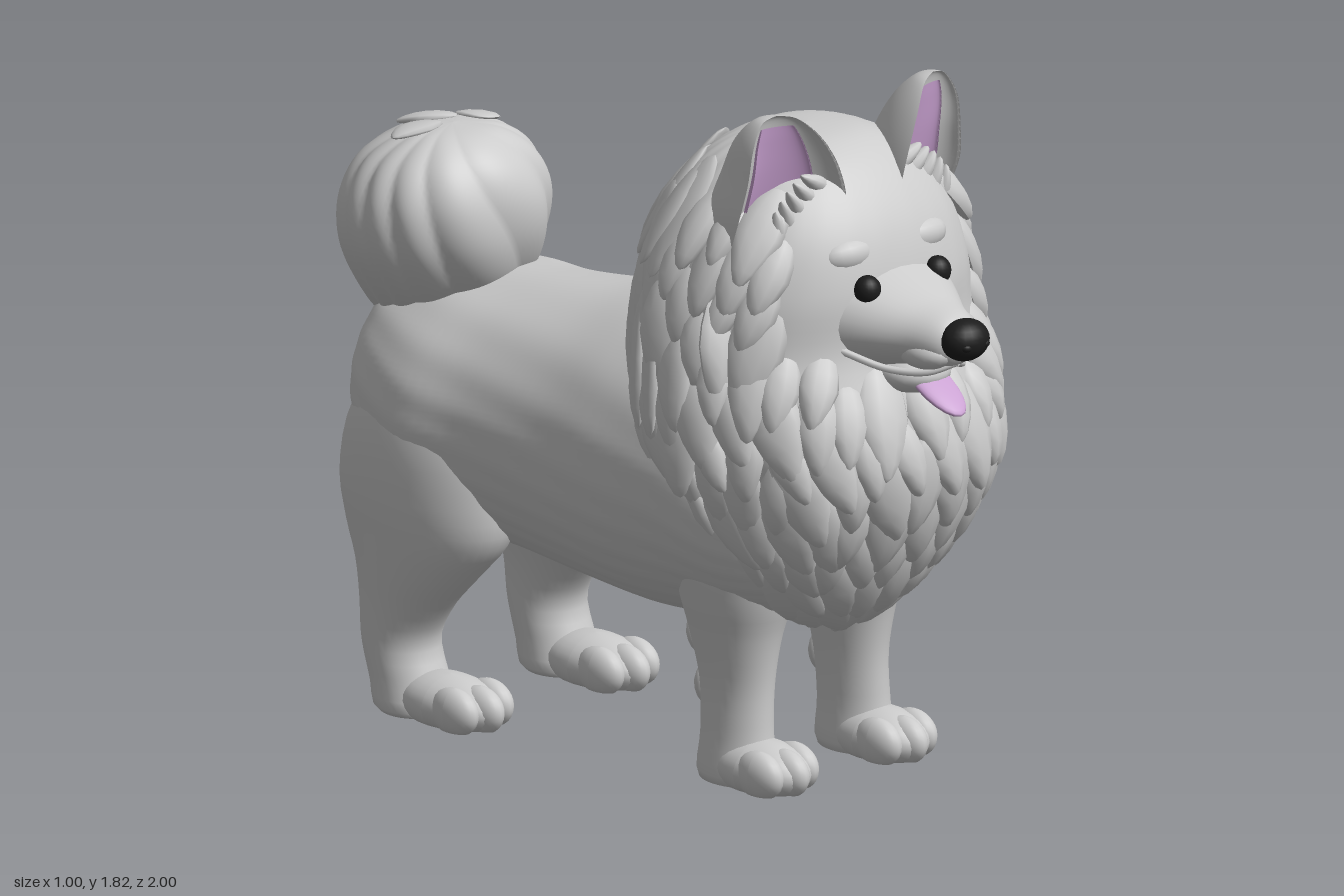
import * as THREE from 'three';
import { mergeGeometries } from 'three/addons/utils/BufferGeometryUtils.js';

const grey = new THREE.MeshStandardMaterial({ color: 0xcccccc });
const black = new THREE.MeshStandardMaterial({ color: 0x1c1c1c });
const pink = new THREE.MeshStandardMaterial({ color: 0xcaa2d2 });
const X0 = 0.02; // centre line of the head

let seed = 7;
const rnd = () => (seed = (seed * 16807) % 2147483647) / 2147483647;

// Smooth interpolation through rows of numbers, u in 0..1
function at(rows, u) {
  const f = Math.min(Math.max(u, 0), 1) * (rows.length - 1);
  const i = Math.min(Math.floor(f), rows.length - 2), t = f - i;
  const row = k => rows[Math.min(Math.max(k, 0), rows.length - 1)];
  return rows[0].map((_, c) => {
    const a = row(i - 1)[c], b = row(i)[c], d = row(i + 1)[c], e = row(i + 2)[c];
    return b + 0.5 * t * (d - a + t * (2 * a - 5 * b + 4 * d - e + t * (3 * (b - d) + e - a)));
  });
}

// Rows along y (top to bottom): [y, x, z, rx, rz]; along z (back to front): [z, x, y, rx, ry]
function surface(axis, rows, { ridge = () => 1, pow = 1 } = {}) {
  const sp = v => Math.sign(v) * Math.abs(v) ** pow;
  return (u, a) => {
    const [t, cx, c2, rx, r2] = at(rows, u), k = ridge(a, u);
    const p = cx + rx * k * sp(Math.cos(a)), q = c2 + r2 * k * sp(Math.sin(a));
    return axis === 'y' ? new THREE.Vector3(p, Math.max(t, 0), q) : new THREE.Vector3(p, q, t);
  };
}

function skin(point, seg = 32, steps = 28) {
  const pos = [], idx = [];
  for (let i = 0; i <= steps; i++) for (let j = 0; j < seg; j++) {
    pos.push(...point(i / steps, j / seg * Math.PI * 2).toArray());
    if (i === steps) continue;
    const a = i * seg + j, b = i * seg + (j + 1) % seg;
    idx.push(a, b, a + seg, b, b + seg, a + seg);
  }
  const g = new THREE.BufferGeometry();
  g.setAttribute('position', new THREE.Float32BufferAttribute(pos, 3));
  g.setIndex(idx);
  g.computeVertexNormals();
  return g;
}

const ball = (x, y, z, rx, ry, rz, tilt = 0) =>
  new THREE.SphereGeometry(1, 20, 14).scale(rx, ry, rz).rotateX(tilt).translate(x, y, z);

// Ball cut flat at the ground
function pad(...size) {
  const g = ball(...size), p = g.attributes.position;
  for (let i = 0; i < p.count; i++) p.setY(i, Math.max(p.getY(i), 0));
  g.computeVertexNormals();
  return g;
}

// Teardrop lock of fur: root sunk in, pointed tip standing out
const lock = new THREE.SphereGeometry(1, 10, 8);
{
  const p = lock.attributes.position;
  for (let i = 0; i < p.count; i++) {
    const y = p.getY(i);
    p.setX(i, p.getX(i) * (y > 0 ? 1 : 1 + 0.4 * y));
    p.setZ(i, p.getZ(i) - 0.6 * y - 0.3 * y * y);
  }
  lock.computeVertexNormals();
}

// Lay a lock on a surface, hanging along rising u
function lay(point, u, a, w, l, h, sway = 0) {
  const e = 0.004, p = point(u, a);
  const du = point(u + e, a).sub(p), da = point(u, a + e).sub(p);
  const n = da.clone().cross(du).normalize();
  const up = du.normalize().negate().applyAxisAngle(n, sway);
  const m = new THREE.Matrix4().makeBasis(up.clone().cross(n), up, n).setPosition(p);
  return lock.clone().scale(w, l, h).applyMatrix4(m);
}

export function createModel() {
  const root = new THREE.Group();
  const add = (name, geo, mat = grey) => {
    const m = new THREE.Mesh(Array.isArray(geo) ? mergeGeometries(geo) : geo, mat);
    m.name = name;
    root.add(m);
  };

  // Trunk with fine combed ripples
  add('body', skin(surface('z', [
    [-0.94, -0.12, 0.8, 0, 0], [-0.93, -0.12, 0.81, 0.16, 0.18], [-0.87, -0.115, 0.81, 0.28, 0.27],
    [-0.75, -0.11, 0.8, 0.355, 0.32], [-0.6, -0.11, 0.79, 0.38, 0.35], [-0.42, -0.105, 0.79, 0.34, 0.36],
    [-0.2, -0.06, 0.78, 0.35, 0.39], [0, -0.01, 0.78, 0.385, 0.42], [0.2, 0.02, 0.78, 0.39, 0.41],
    [0.4, 0.02, 0.73, 0.36, 0.32], [0.55, 0.02, 0.72, 0.25, 0.24], [0.66, 0.02, 0.72, 0, 0],
  ], { ridge: (a, u) => 1 + 0.004 * Math.sin(24 * a + 30 * u * Math.cos(a)) }), 144, 56));

  // Head and mane in one volume, smooth over the face
  const maneAt = surface('y', [
    [1.7, X0, 0.36, 0, 0], [1.685, X0, 0.36, 0.14, 0.13], [1.62, X0, 0.36, 0.27, 0.23],
    [1.5, X0, 0.365, 0.36, 0.31], [1.35, X0, 0.365, 0.41, 0.355], [1.2, X0, 0.36, 0.43, 0.37],
    [1.05, X0, 0.39, 0.44, 0.39], [0.9, 0.025, 0.42, 0.42, 0.385], [0.75, 0.03, 0.455, 0.36, 0.3],
    [0.6, 0.03, 0.465, 0.265, 0.2], [0.49, 0.03, 0.46, 0.15, 0.11], [0.41, 0.03, 0.45, 0, 0],
  ], {
    pow: 0.88,
    ridge: (a, u) => 1 + 0.012 * Math.sin(26 * a + 5 * Math.sin(9 * u)) * (Math.sin(a) > 0.3 ? 0.1 : 1) * Math.min(1, 4 * u),
  });
  add('headAndMane', skin(maneAt, 128, 56));
  const locks = [];
  for (let r = 0; r < 12; r++) {
    const u = 0.27 + r * 0.057, s = at([[0.24], [0.42], [0.43], [0.38], [0.12]], u)[0];
    const count = Math.round(2 * Math.PI * s / 0.105);
    for (let j = 0; j < count; j++) {
      const a = (j + (r % 2) / 2 + 0.5 * (rnd() - 0.5)) / count * Math.PI * 2;
      const p = maneAt(u, a), front = Math.sin(a);
      if (p.y > 1.16 && front > 0.6) continue;
      if (p.y > 1.06 && front > 0.84) continue;
      if (p.z < -0.06 + Math.max(0, 1.2 - p.y) * 0.72) continue;
      const back = front < -0.2 && p.y > 1.05, size = 0.8 + 0.45 * rnd();
      const sway = p.y > 1.1 ? 0.5 * Math.sign(Math.cos(a)) * Math.max(front, 0) : 0.5 * (rnd() - 0.5);
      locks.push(lay(maneAt, u, a, 0.06 * size, (back ? 0.15 : 0.125) * size, back ? 0.022 : 0.036, sway));
    }
  }
  add('maneLocks', locks);

  // Muzzle, lips, jaw, nose and tongue
  add('muzzle', skin(surface('z', [
    [0.56, X0, 1.28, 0.27, 0.19], [0.72, X0, 1.27, 0.185, 0.125], [0.83, X0, 1.26, 0.115, 0.085],
    [0.92, X0, 1.25, 0.07, 0.06], [0.955, X0, 1.25, 0, 0],
  ])));
  add('jaw', ball(X0, 1.14, 0.75, 0.1, 0.055, 0.1));
  for (const s of [-1, 1]) {
    add('lip', ball(X0 + s * 0.045, 1.22, 0.845, 0.06, 0.045, 0.085));
    add('mouthEdge', new THREE.TubeGeometry(new THREE.CatmullRomCurve3([
      [0, 1.195, 0.915], [0.06, 1.172, 0.87], [0.12, 1.175, 0.79], [0.19, 1.215, 0.69],
    ].map(([x, y, z]) => new THREE.Vector3(X0 + s * x, y, z))), 20, 0.01, 8));
    add('nostril', ball(X0 + s * 0.03, 1.255, 0.982, 0.016, 0.012, 0.014), black);
    add('eye', ball(X0 + s * 0.12, 1.365, 0.715, 0.036, 0.038, 0.034), black);
    add('brow', ball(X0 + s * 0.12, 1.44, 0.635, 0.09, 0.05, 0.06, -0.4));
  }
  add('nose', ball(X0, 1.262, 0.945, 0.068, 0.054, 0.055), black);
  add('tongue', ball(X0, 1.12, 0.83, 0.058, 0.02, 0.12, 0.55), pink);

  // Ears: hollow in front, rounded behind, turned a little outwards
  const earRows = [
    [1.815, 0.268, 0.54, 0, 0], [1.8, 0.265, 0.55, 0.05, 0.065], [1.74, 0.255, 0.57, 0.095, 0.15],
    [1.65, 0.24, 0.575, 0.125, 0.205], [1.55, 0.235, 0.56, 0.143, 0.23], [1.43, 0.235, 0.5, 0.13, 0.17],
  ];
  const earAt = (s, w, base, depth, back, from, to) => (u, a) => {
    const [y, x, z, rx, rz] = at(earRows, from + (to - from) * u);
    const dx = rx * w * Math.cos(a), si = Math.sin(a);
    const dz = rz * (base - (si > 0 ? depth * si : -back * si));
    return new THREE.Vector3(X0 + s * x + dx, y, z + dz - s * 0.3 * dx);
  };
  for (const s of [-1, 1]) {
    // The sections are crescents, opening to the front
    add('ear', skin(earAt(s, 1, 0, 0.35, 1, 0, 1), 40));
    add('innerEar', skin(earAt(s, 0.62, -0.2, 0.12, 0.22, 0.28, 0.9), 32, 20), pink);
    const tufts = [];
    for (let i = 0; i < 5; i++)
      tufts.push(lock.clone().scale(0.024, 0.075, 0.025).rotateZ(s * (2.1 + 0.22 * i))
        .translate(X0 + s * (0.14 + 0.035 * i), 1.61 - 0.028 * i, 0.555));
    add('earTufts', tufts);
  }

  // Legs, paws and toes
  const leg = (name, mid, s, rows, paw, foot, toe) => {
    const full = rows.map(([y, x, z, rx, rz]) => [y, mid + s * x, z, rx, rz]);
    const x = mid + s * rows.at(-1)[1], legAt = surface('y', full);
    add(name, skin(legAt, 36, 32));
    add(name + 'Paw', pad(x, 0.045, paw, 0.1, 0.075, foot));
    add(name + 'Toes', [-1, 0, 1].map(k => pad(x + k * 0.06, 0.05, toe - Math.abs(k) * 0.03, 0.043, 0.062, 0.078)));
    return legAt;
  };
  for (const s of [-1, 1]) {
    const frontAt = leg('frontLeg', 0.045, s, [
      [0.88, 0.18, 0.27, 0, 0], [0.82, 0.185, 0.27, 0.12, 0.13], [0.66, 0.185, 0.28, 0.165, 0.185],
      [0.5, 0.19, 0.285, 0.14, 0.165], [0.38, 0.195, 0.285, 0.105, 0.132], [0.25, 0.195, 0.29, 0.082, 0.108],
      [0.12, 0.2, 0.295, 0.08, 0.105], [0, 0.203, 0.3, 0.085, 0.11], [0, 0.203, 0.3, 0, 0],
    ], 0.39, 0.15, 0.475);
    const feathers = [];
    for (let i = 0; i < 6; i++)
      feathers.push(lay(frontAt, 0.4 + i * 0.06, -Math.PI / 2 + (i % 2 ? 0.2 : -0.2), 0.035, 0.06, 0.022));
    add('legFeathers', feathers);
    leg('hindLeg', -0.11, s, [
      [1.0, 0.17, -0.63, 0, 0], [0.92, 0.175, -0.63, 0.14, 0.17], [0.76, 0.195, -0.645, 0.185, 0.255],
      [0.6, 0.212, -0.65, 0.178, 0.28], [0.48, 0.228, -0.645, 0.15, 0.26], [0.38, 0.24, -0.665, 0.125, 0.195],
      [0.28, 0.247, -0.7, 0.105, 0.138], [0.18, 0.25, -0.72, 0.098, 0.105], [0.08, 0.25, -0.69, 0.098, 0.105],
      [0, 0.25, -0.665, 0.095, 0.1], [0, 0.25, -0.665, 0, 0],
    ], -0.54, 0.17, -0.43);
  }

  // Curled plume of a tail with swirling grooves
  const tailAt = surface('y', [
    [1.5, -0.2, -0.7, 0, 0], [1.485, -0.2, -0.7, 0.12, 0.11], [1.42, -0.2, -0.72, 0.22, 0.205],
    [1.32, -0.2, -0.73, 0.27, 0.25], [1.2, -0.195, -0.745, 0.265, 0.252], [1.08, -0.175, -0.775, 0.215, 0.215],
    [0.97, -0.15, -0.83, 0.135, 0.135], [0.84, -0.13, -0.87, 0, 0],
  ], { ridge: (a, u) => 0.97 + 0.055 * Math.abs(Math.sin(6 * a + 6 * u + 1.5 * Math.sin(2 * a))) });
  add('tail', skin(tailAt, 128, 40));
  add('tailCurls', [0, 1, 2].map(i => lay(tailAt, 0.12 + 0.02 * i, i * 1.1 - 2.6, 0.06, 0.08, 0.014, 0.6)));

  return root;
}
